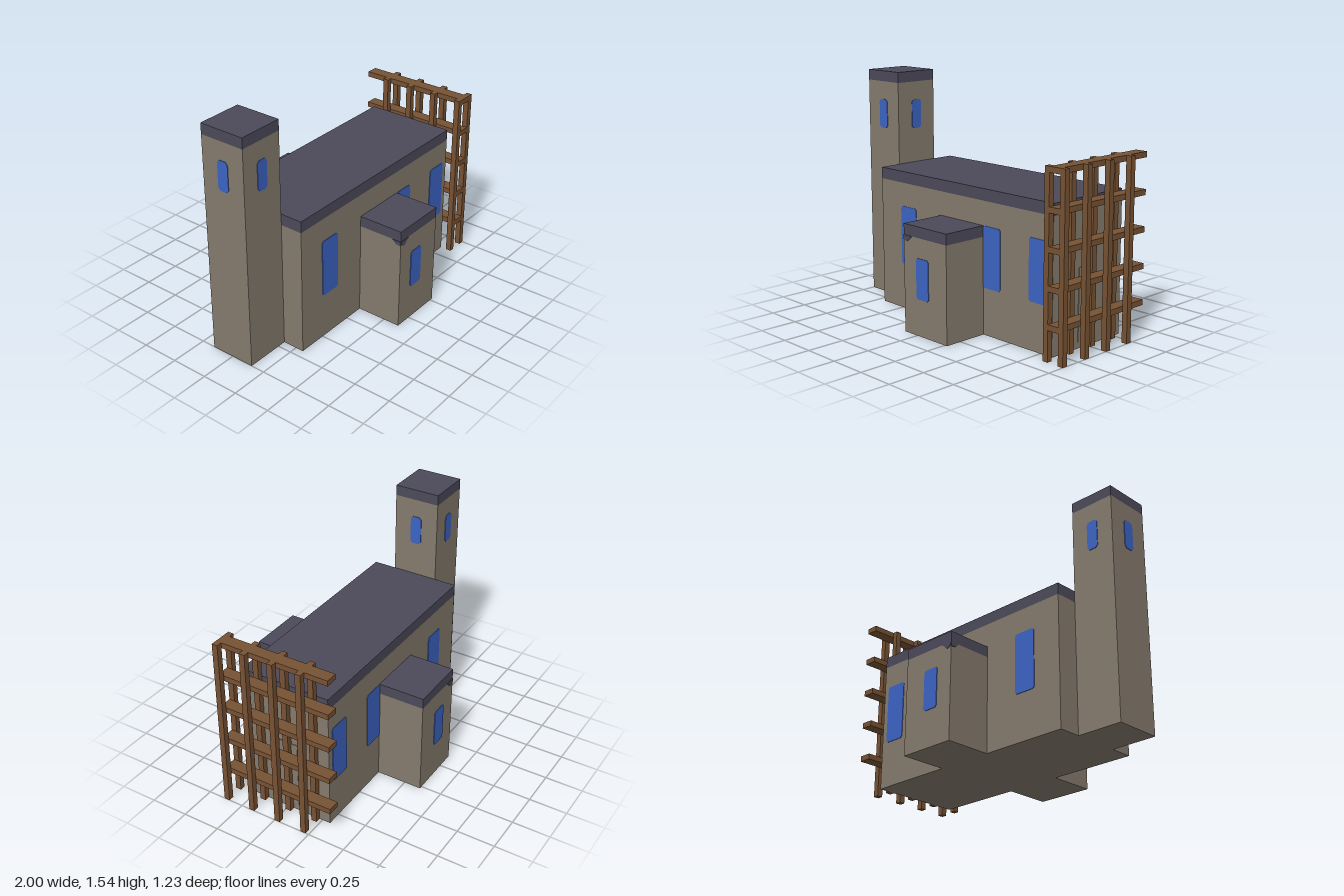
import * as THREE from 'three';

const mat = (name, color) => {
  const m = new THREE.MeshStandardMaterial({ color });
  m.name = name;
  return m;
};

export function createModel() {
  const stone = mat('stone', 0x857b6e);
  const slate = mat('slate', 0x4c4a5a);
  const glass = mat('blueGlass', 0x3c64c4);
  const wood = mat('wood', 0x775233);
  const model = new THREE.Group();
  model.name = 'chapel';

  const add = (name, geometry, material, parent = model) => {
    const m = new THREE.Mesh(geometry, material);
    m.name = name;
    parent.add(m);
    return m;
  };

  // Box given by its lower and upper corners
  const box = (name, material, [x0, y0, z0], [x1, y1, z1], parent) => {
    const g = new THREE.BoxGeometry(x1 - x0, y1 - y0, z1 - z0);
    g.translate((x0 + x1) / 2, (y0 + y1) / 2, (z0 + z1) / 2);
    return add(name, g, material, parent);
  };

  // Walls with a flush slate roof slab
  const block = (name, x0, x1, z0, z1, eave, top) => {
    box(name + 'Walls', stone, [x0, 0, z0], [x1, eave, z1]);
    box(name + 'Roof', slate, [x0, eave, z0], [x1, top, z1]);
  };
  block('tower', -1, -0.695, -0.155, 0.155, 1.47, 1.54);
  block('nave', -0.695, 0.845, -0.305, 0.305, 0.85, 0.925);
  block('frontPorch', -0.115, 0.27, 0.305, 0.612, 0.625, 0.695);
  block('backPorch', -0.115, 0.27, -0.612, -0.305, 0.625, 0.695);

  // Thin plate with clipped corners, laid on a wall and turned about y
  const plate = (name, material, w, h, [x, y, z], turn, clip = 0.012) => {
    const a = w / 2, b = h / 2, c = clip;
    const s = new THREE.Shape([
      [-a + c, -b], [a - c, -b], [a, -b + c], [a, b - c],
      [a - c, b], [-a + c, b], [-a, b - c], [-a, -b + c],
    ].map(p => new THREE.Vector2(...p)));
    const g = new THREE.ExtrudeGeometry(s, { depth: 0.004, bevelEnabled: false });
    const m = add(name, g, material);
    m.position.set(x, y, z);
    m.rotation.y = turn;
  };

  // Windows on both long sides, with a drooping slate edge on each porch
  for (const side of [1, -1]) {
    const turn = side > 0 ? 0 : Math.PI;
    for (const x of [-0.425, 0.343, 0.73])
      plate('naveWindow', glass, 0.15, 0.39, [x, 0.5, side * 0.305], turn);
    plate('porchWindow', glass, 0.11, 0.26, [0.055, 0.368, side * 0.612], turn);
    plate('towerWindow', glass, 0.078, 0.195, [-0.848, 1.252, side * 0.155], turn, 0.016);
    plate('towerSideWindow', glass, 0.078, 0.195, [side > 0 ? -0.695 : -1, 1.252, 0], side * Math.PI / 2, 0.016);

    const droop = new THREE.Shape();
    droop.moveTo(0, 0);
    droop.lineTo(0, -0.018);
    droop.quadraticCurveTo(0.03, -0.055, 0.055, -0.018);
    droop.lineTo(0.08, 0);
    const g = new THREE.ExtrudeGeometry(droop, { depth: 0.004, bevelEnabled: false, curveSegments: 6 });
    add('roofDroop', g, slate).position.set(-0.115, 0.625, side > 0 ? 0.612 : -0.616);
    // The droop also wraps round the corner
    const wrap = new THREE.Shape([[0, 0], [0.06 * side, 0], [0.035 * side, -0.025], [0, -0.03]]
      .map(p => new THREE.Vector2(...p)));
    const wg = new THREE.ExtrudeGeometry(wrap, { depth: 0.004, bevelEnabled: false });
    const w = add('roofDroopSide', wg, slate);
    w.position.set(-0.115, 0.625, side * 0.612);
    w.rotation.y = -Math.PI / 2;
    w.scale.x = -1;
  }

  // Plain stone door on the end wall
  plate('endDoor', stone, 0.16, 0.465, [0.845, 0.272, 0], Math.PI / 2, 0.004);

  // Scaffold: paired posts with long planks between them
  const scaffold = new THREE.Group();
  scaffold.name = 'scaffold';
  model.add(scaffold);
  for (let i = 0; i < 4; i++) {
    const z = 0.385 - i * 0.192;
    box('innerPost', wood, [0.845, 0, z - 0.038], [0.881, 1.155, z], scaffold);
    box('outerPost', wood, [0.962, 0, z - 0.038], [1, 1.155, z], scaffold);
  }
  for (let i = 1; i <= 5; i++)
    box('plank', wood, [0.881, i * 0.231 - 0.036, -0.385], [0.962, i * 0.231, 0.385], scaffold);

  return model;
}
